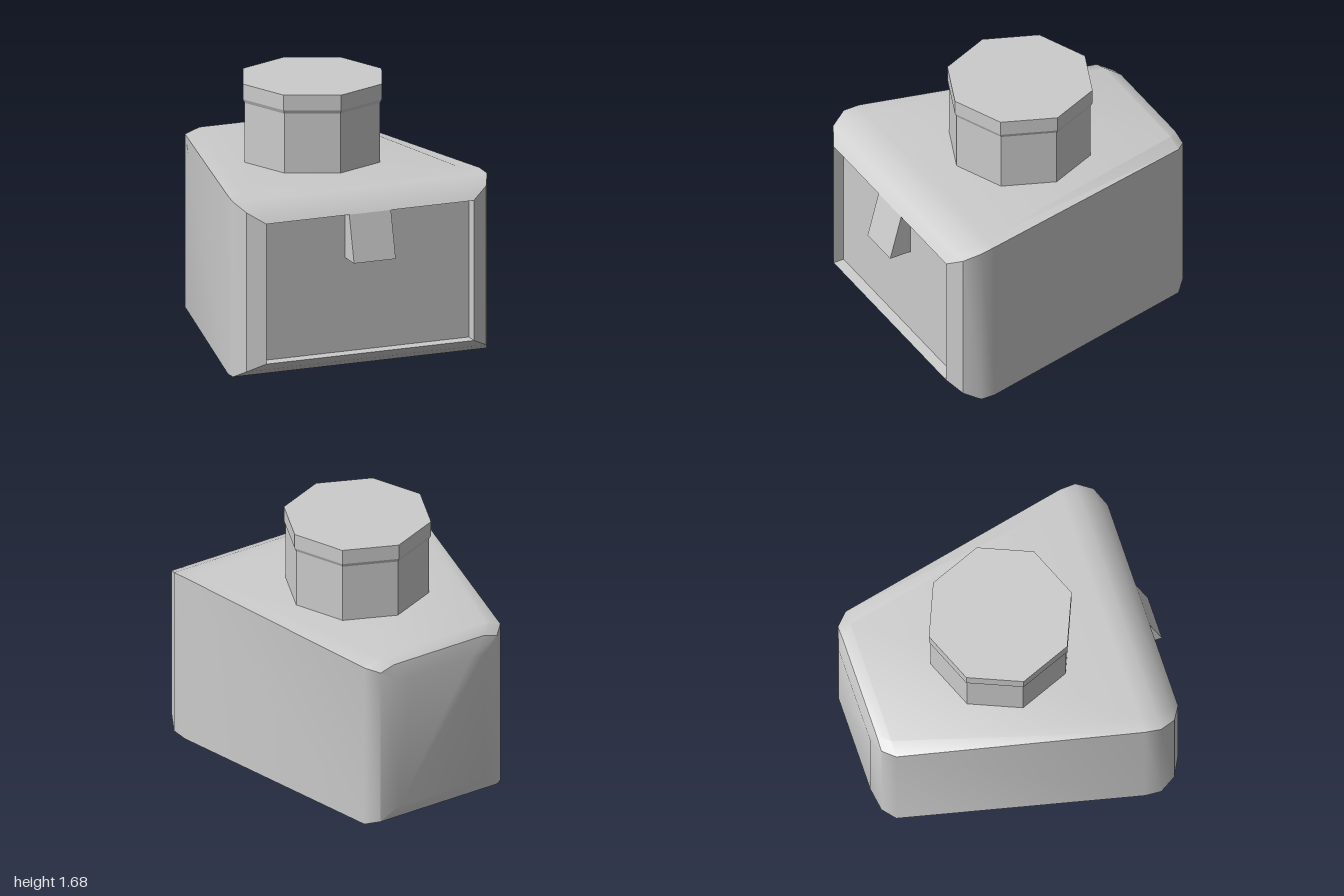
import * as THREE from 'three';
import { toCreasedNormals } from 'three/addons/utils/BufferGeometryUtils.js';

const CENTRE_Z = -0.03;

// Skin a row of six-cornered cross-sections, closing both ends with fans.
function loft(sections) {
  const pos = [], idx = [], n = sections[0].length;
  sections.forEach(s => s.forEach(p => pos.push(...p)));
  for (let i = 0; i < sections.length - 1; i++) {
    for (let j = 0; j < n; j++) {
      const k = (j + 1) % n;
      const a = i * n + j, b = i * n + k, c = a + n, d = b + n;
      idx.push(a, c, b, b, c, d);
    }
  }
  const last = (sections.length - 1) * n;
  for (let j = 1; j < n - 1; j++) {
    idx.push(0, j, j + 1);
    idx.push(last, last + j + 1, last + j);
  }
  const g = new THREE.BufferGeometry();
  g.setAttribute('position', new THREE.Float32BufferAttribute(pos, 3));
  g.setIndex(idx);
  return toCreasedNormals(g, 0.6);
}

export function createModel() {
  const model = new THREE.Group();
  const smooth = new THREE.MeshStandardMaterial({ color: 0xcccccc });
  const flat = new THREE.MeshStandardMaterial({ color: 0xcccccc, flatShading: true });

  const add = (name, geometry, material) => {
    const mesh = new THREE.Mesh(geometry, material);
    mesh.name = name;
    model.add(mesh);
    return mesh;
  };

  // Tapered body, from the recessed front panel to the back:
  // z, half width, bottom, top at the side edges, top
  const stations = [
    [0.85, 0.705, 0.125, 1.035, 1.035],
    [0.92, 0.71, 0.12, 1.04, 1.04],
    [0.86, 0.82, 0.065, 1.11, 1.11],
    [0.755, 0.87, 0.01, 1.16, 1.16],
    [0.65, 0.86, 0, 1.17, 1.17],
    [-0.89, 0.515, 0, 1.135, 1.17],
    [-0.965, 0.44, 0.03, 1.11, 1.14],
    [-1, 0.32, 0.13, 1.03, 1.03],
  ];
  add('body', loft(stations.map(([z, w, lo, edge, hi]) => [
    [w, lo, z], [w, edge, z], [w - 0.1, hi, z],
    [0.1 - w, hi, z], [-w, edge, z], [-w, lo, z],
  ])), smooth);

  // Eight-sided neck and the slightly wider cap on it
  const turned = (name, profile) => {
    const points = profile.map(([r, y]) => new THREE.Vector2(r, y));
    add(name, new THREE.LatheGeometry(points, 8), flat).position.z = CENTRE_Z;
  };
  turned('neck', [[0.463, 1.15], [0.463, 1.565]]);
  turned('cap', [[0.463, 1.56], [0.475, 1.585], [0.475, 1.685], [0, 1.685]]);

  // Wedge-shaped catch on the front panel, drawn in side profile
  const wedge = new THREE.Shape([[0.84, 0.74], [1, 0.74], [0.92, 1.04], [0.84, 1.04]]
    .map(([z, y]) => new THREE.Vector2(z, y)));
  const catchGeometry = new THREE.ExtrudeGeometry(wedge, { depth: 0.285, bevelEnabled: false });
  catchGeometry.rotateY(-Math.PI / 2).translate(0.1425, 0, 0);
  add('frontCatch', catchGeometry, flat);

  return model;
}
